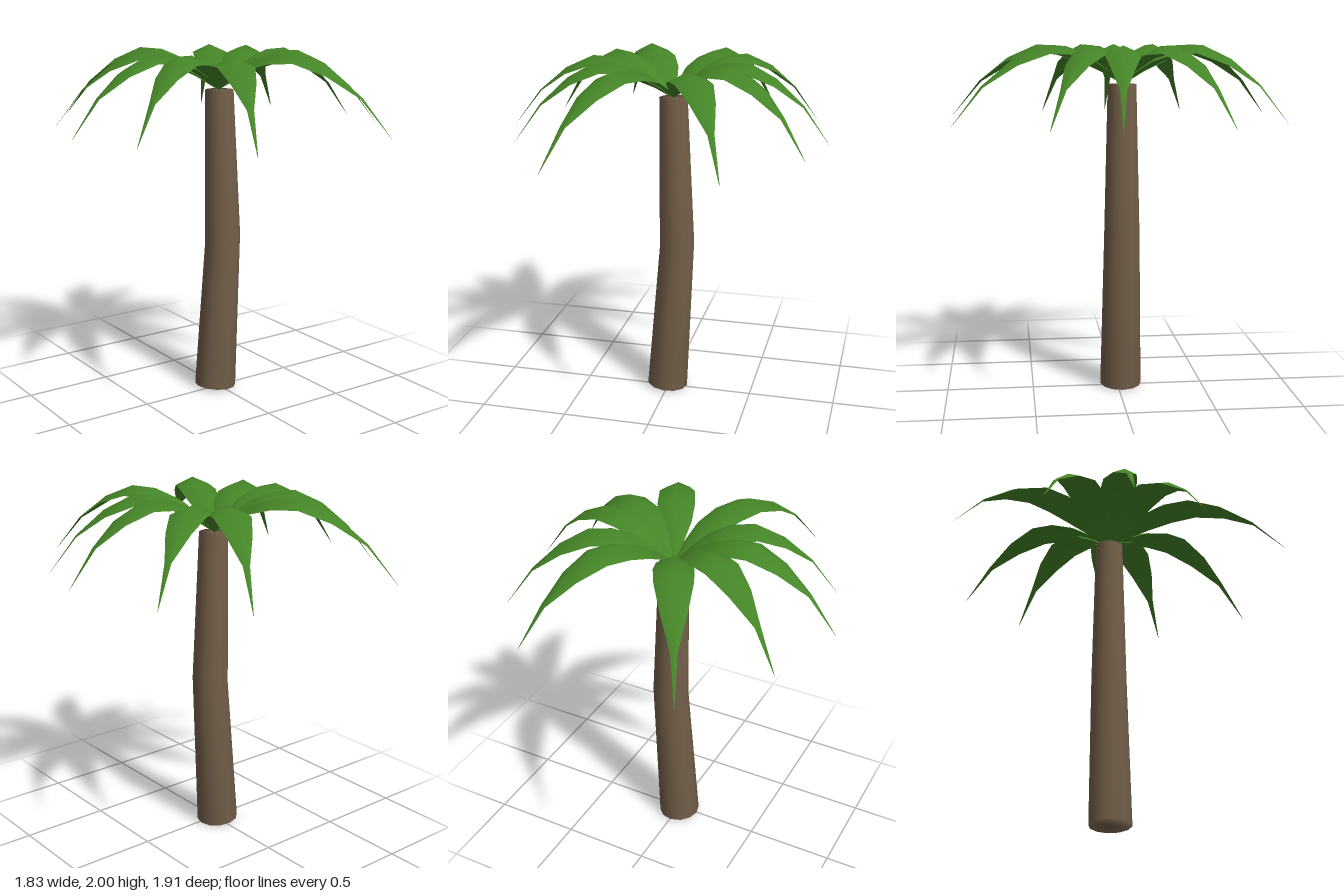
import * as THREE from 'three';
import { mergeVertices } from 'three/addons/utils/BufferGeometryUtils.js';

const CROWN = [0.02, -0.03];

// Surface lofted through rows of points, all rows having the same length
function loft(rows) {
  const n = rows[0].length, index = [];
  for (let i = 0; i < rows.length - 1; i++) {
    for (let j = 0; j < n - 1; j++) {
      const a = i * n + j, b = a + n;
      index.push(a, a + 1, b, b, a + 1, b + 1);
    }
  }
  const g = new THREE.BufferGeometry();
  g.setAttribute('position', new THREE.Float32BufferAttribute(rows.flat(2), 3));
  g.setIndex(index);
  g.computeVertexNormals();
  return g;
}

// Trunk: a bent, tapering cylinder with slightly tilted rings
function trunkGeometry() {
  const rings = [ // centre x, y, z, radius, rise per unit of x
    [-0.01, 0.01, -0.02, 0.121, -0.08],
    [0.045, 0.91, -0.022, 0.103, 0.25],
    [0.022, 1.78, -0.025, 0.082, 0],
  ];
  let g = new THREE.CylinderGeometry(1, 1, 2, 12, 2);
  g.deleteAttribute('uv');
  g.deleteAttribute('normal');
  g = mergeVertices(g);
  const p = g.attributes.position;
  for (let i = 0; i < p.count; i++) {
    const [x, y, z, r, tilt] = rings[Math.round(p.getY(i)) + 1];
    const dx = p.getX(i) * r;
    p.setXYZ(i, x + dx, y + dx * tilt, z + p.getZ(i) * r);
  }
  g.computeVertexNormals();
  return g;
}

// Frond: arched blade with a raised midrib, running from the crown to its tip
const FROND = [ // share of length, midrib height, half width
  [0, 1.78, 0.004], [0.1, 1.87, 0.05], [0.22, 1.95, 0.09], [0.35, 1.995, 0.105],
  [0.49, 2.0, 0.1], [0.66, 1.925, 0.068], [0.83, 1.79, 0.018], [1, 1.58, 0.001],
];
function frondGeometry(tipX, tipZ) {
  const dx = tipX - CROWN[0], dz = tipZ - CROWN[1], len = Math.hypot(dx, dz);
  const sx = -dz / len, sz = dx / len;
  return loft(FROND.map(([t, y, w]) => [-1, 0, 1].map((s) => [
    CROWN[0] + dx * t + sx * w * s,
    y - Math.abs(s) * w * 0.45,
    CROWN[1] + dz * t + sz * w * s,
  ])));
}

export function createModel() {
  const bark = new THREE.MeshStandardMaterial({ color: 0x735f49 });
  bark.name = 'bark';
  const leaf = new THREE.MeshStandardMaterial({ color: 0x458527, side: THREE.DoubleSide });
  leaf.name = 'leafGreen';

  const model = new THREE.Group();
  model.name = 'palmTree';
  const trunk = new THREE.Mesh(trunkGeometry(), bark);
  trunk.name = 'trunk';
  model.add(trunk);

  // Crown of ten fronds, given by their tips
  const crown = new THREE.Group();
  crown.name = 'crown';
  const tips = [
    [-0.47, -0.96], [0.47, -0.88], [0.78, -0.53], [0.91, 0.065], [0.82, 0.42],
    [0.47, 0.92], [-0.43, 0.95], [-0.77, 0.4], [-0.92, -0.015], [-0.78, -0.49],
  ];
  tips.forEach(([x, z], i) => {
    const frond = new THREE.Mesh(frondGeometry(x, z), leaf);
    frond.name = `frond${i + 1}`;
    crown.add(frond);
  });
  model.add(crown);
  return model;
}
